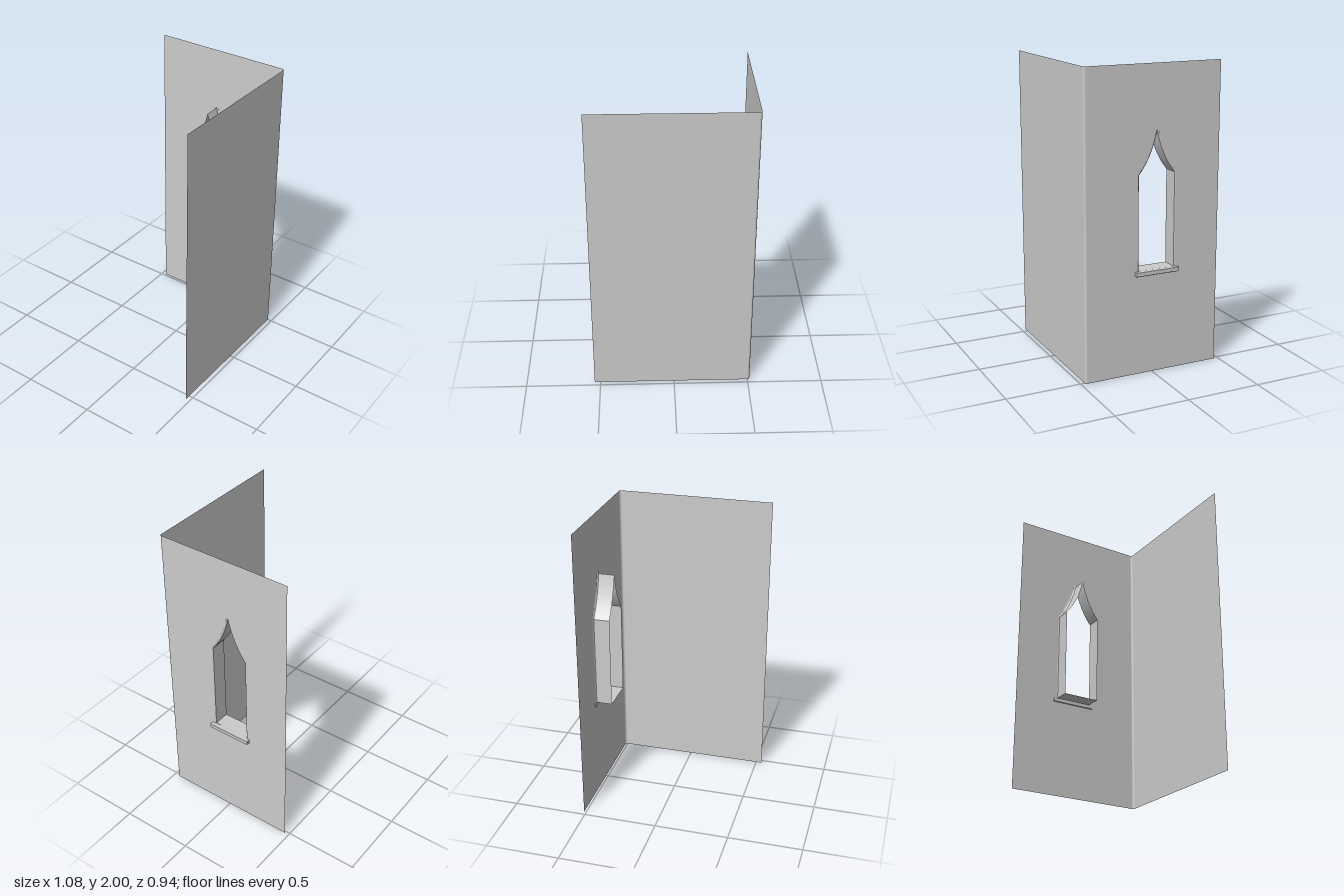
import * as THREE from 'three';
import { mergeGeometries, mergeVertices, toCreasedNormals } from 'three/addons/utils/BufferGeometryUtils.js';
import { RoundedBoxGeometry } from 'three/addons/geometries/RoundedBoxGeometry.js';

const HEIGHT = 2, LEFT = -0.54, FACE_X = 0.515, FACE_Z = 0.47, RADIUS = 0.015;
const WINDOW_U = 0.029, SILL_Y = 0.69, BEVEL = 0.008;

// Pointed window outline as [u, y] on the side wall, where u = -z
function windowOutline(halfWidth, springY, apexY) {
  const rise = apexY - springY;
  const arch = new THREE.QuadraticBezierCurve(
    new THREE.Vector2(-halfWidth, springY),
    new THREE.Vector2(-halfWidth * 0.29, springY + rise * 0.386),
    new THREE.Vector2(0, apexY)
  ).getPoints(10);
  const half = [new THREE.Vector2(-halfWidth, SILL_Y), ...arch];
  const mirrored = half.slice(0, -1).reverse().map((p) => new THREE.Vector2(-p.x, p.y));
  return [...half, ...mirrored].map((p) => new THREE.Vector2(p.x + WINDOW_U, p.y));
}

// Surface between two matching rows of points
function loft(rowA, rowB) {
  const n = rowA.length, index = [];
  for (let i = 0; i < n - 1; i++) index.push(i, n + i, i + 1, i + 1, n + i, n + i + 1);
  const geometry = new THREE.BufferGeometry().setFromPoints([...rowA, ...rowB]);
  geometry.setIndex(index);
  return geometry;
}

const onWall = (outline, x) => outline.map((p) => new THREE.Vector3(x, p.y, -p.x));

export function createModel() {
  const group = new THREE.Group();
  const material = new THREE.MeshStandardMaterial({ color: 0xcccccc, side: THREE.DoubleSide });
  const add = (name, geometry) => {
    const mesh = new THREE.Mesh(geometry, material);
    mesh.name = name;
    group.add(mesh);
    return mesh;
  };

  const outer = windowOutline(0.133, 1.315, 1.615);
  const inner = windowOutline(0.126, 1.31, 1.585);

  // Front wall, running round the softened corner
  const plan = [[LEFT, FACE_Z]];
  for (let i = 0; i <= 4; i++) {
    const a = (i / 4) * Math.PI / 2;
    plan.push([FACE_X - RADIUS + RADIUS * Math.sin(a), FACE_Z - RADIUS + RADIUS * Math.cos(a)]);
  }
  const planAt = (y) => plan.map(([x, z]) => new THREE.Vector3(x, y, z));
  const frontWall = loft(planAt(HEIGHT), planAt(0));

  // Side wall with the window cut out
  const shape = new THREE.Shape([
    [-(FACE_Z - RADIUS), 0], [FACE_Z, 0], [FACE_Z, HEIGHT], [-(FACE_Z - RADIUS), HEIGHT],
  ].map(([u, y]) => new THREE.Vector2(u, y)));
  shape.holes.push(new THREE.Path(outer));
  const sideWall = new THREE.ShapeGeometry(shape).rotateY(Math.PI / 2).translate(FACE_X, 0, 0);
  sideWall.deleteAttribute('uv');
  sideWall.deleteAttribute('normal');

  // Small flare leading from the wall into the window, smoothed with the walls
  const flare = loft(onWall(outer, FACE_X), onWall(inner, FACE_X - BEVEL));
  const walls = mergeVertices(mergeGeometries([frontWall, sideWall, flare]), 1e-4);
  walls.computeVertexNormals();
  add('walls', walls);

  // Window lining, closed along the floor
  const ring = [...inner, inner[0]];
  const lining = loft(onWall(ring, FACE_X - BEVEL), onWall(ring, 0.4));
  add('windowReveal', toCreasedNormals(lining, 0.5));

  // Projecting sill
  const sill = add('windowSill', new RoundedBoxGeometry(0.033, 0.028, 0.305, 2, 0.004));
  sill.position.set(0.5235, 0.678, -WINDOW_U + 0.001);

  return group;
}
